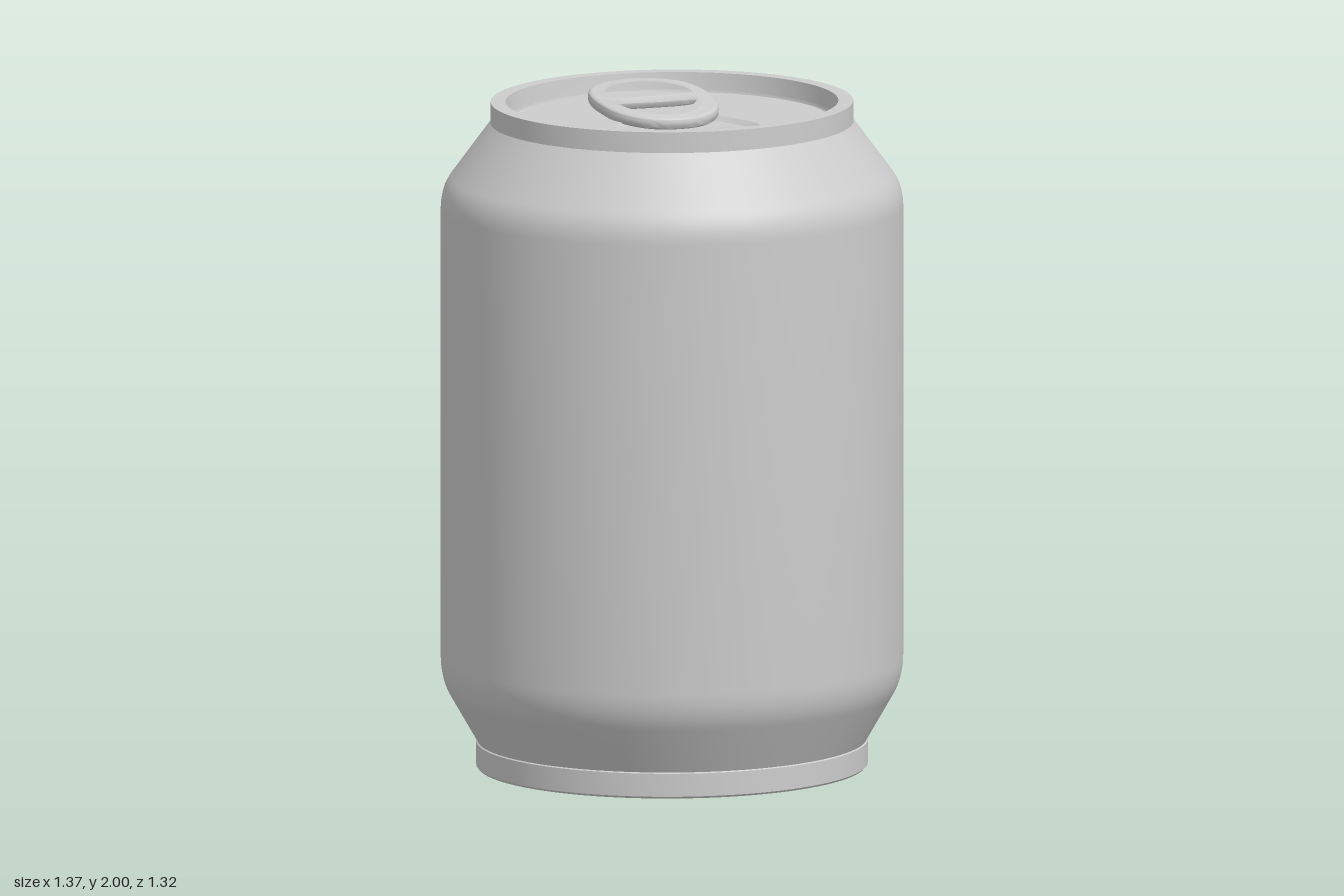
import * as THREE from 'three';
import { toCreasedNormals } from 'three/addons/utils/BufferGeometryUtils.js';

const metal = new THREE.MeshStandardMaterial({ color: 0xcccccc });
metal.name = 'plain metal';

const DEPTH = 0.96;   // the can is slightly oval
const LID = 1.935;    // lid level
const PANEL = 1.921;  // sunken panel level

function add(parent, name, geometry, crease = 0.5) {
  const mesh = new THREE.Mesh(toCreasedNormals(geometry, crease), metal);
  mesh.name = name;
  parent.add(mesh);
  return mesh;
}

// Closed smooth outline from its right half, listed from back to front (y = -z)
function outline(half, cx = 0, count = 72) {
  const left = half.slice(1, -1).reverse().map(([x, y]) => [-x, y]);
  const pts = [...half, ...left].map(([x, y]) => new THREE.Vector3(x + cx, y, 0));
  const curve = new THREE.CatmullRomCurve3(pts, true, 'centripetal');
  return curve.getSpacedPoints(count).slice(0, count).map(p => new THREE.Vector2(p.x, p.y));
}

// Lay a geometry drawn in xy flat, facing up
const flat = (geometry, y) => geometry.rotateX(-Math.PI / 2).translate(0, y, 0);

// Sloping wall between two outlines
function wall(a, ya, b, yb) {
  const pos = [], idx = [], n = a.length;
  for (let i = 0; i < n; i++) pos.push(a[i].x, ya, -a[i].y, b[i].x, yb, -b[i].y);
  for (let i = 0; i < n; i++) {
    const p = 2 * i, q = 2 * ((i + 1) % n);
    idx.push(p, p + 1, q, q, p + 1, q + 1);
  }
  const g = new THREE.BufferGeometry();
  g.setAttribute('position', new THREE.Float32BufferAttribute(pos, 3));
  g.setIndex(idx);
  g.computeVertexNormals();
  return g;
}

export function createModel() {
  const can = new THREE.Group();
  can.name = 'can';

  // Turned body: base recess, foot, tapered shoulders, rim and lid edge
  const p = new THREE.Path();
  p.moveTo(0, 0.05);
  p.lineTo(0.522, 0.05);
  p.quadraticCurveTo(0.535, 0.05, 0.537, 0.035);
  p.lineTo(0.545, 0);
  p.lineTo(0.575, 0);
  p.lineTo(0.58, 0.006);
  p.lineTo(0.58, 0.075);
  p.lineTo(0.576, 0.078);
  p.lineTo(0.655, 0.215);
  p.quadraticCurveTo(0.685, 0.265, 0.685, 0.33);
  p.lineTo(0.685, 1.675);
  p.quadraticCurveTo(0.685, 1.73, 0.655, 1.77);
  p.lineTo(0.538, 1.928);
  p.lineTo(0.537, 1.99);
  p.lineTo(0.493, 1.99);
  p.lineTo(0.486, 1.94);
  p.quadraticCurveTo(0.484, 1.926, 0.477, 1.926);
  p.quadraticCurveTo(0.47, 1.926, 0.466, LID);
  p.lineTo(0.45, LID);
  const body = add(can, 'body', new THREE.LatheGeometry(p.getPoints(8), 96));
  body.scale.z = DEPTH;

  // Lid with an egg-shaped sunken panel
  const edge = outline([[0, 0.1], [0.08, 0.085], [0.14, 0.03], [0.19, -0.06], [0.217, -0.16],
    [0.2, -0.25], [0.15, -0.32], [0.08, -0.368], [0, -0.382]], -0.002);
  const inner = edge.map(v => new THREE.Vector2(v.x * 0.92, (v.y + 0.15) * 0.93 - 0.15));
  const lid = new THREE.Shape();
  lid.absellipse(0, 0, 0.451, 0.451 * DEPTH, 0, Math.PI * 2);
  lid.holes.push(new THREE.Path(edge));
  add(can, 'lid', flat(new THREE.ShapeGeometry(lid, 48), LID));
  const slope = add(can, 'panelEdge', wall(edge, LID, inner, PANEL));
  slope.material = metal;
  add(can, 'panel', flat(new THREE.ShapeGeometry(new THREE.Shape(inner)), PANEL));

  // Mouth piece, slightly raised inside the panel
  const mouth = new THREE.Shape(outline([[0, -0.155], [0.07, -0.145], [0.122, -0.12], [0.145, -0.125],
    [0.15, -0.19], [0.125, -0.255], [0.075, -0.3], [0, -0.315]]));
  add(can, 'mouth', flat(new THREE.ExtrudeGeometry(mouth, {
    depth: 0.003, bevelThickness: 0.003, bevelSize: 0.004, bevelOffset: -0.004, bevelSegments: 2,
  }), PANEL));

  // Rivet
  const rivet = new THREE.LatheGeometry([[0.08, PANEL], [0.08, 1.948], [0.074, 1.954], [0, 1.954]]
    .map(([x, y]) => new THREE.Vector2(x, y)), 40);
  add(can, 'rivet', rivet).position.set(-0.007, 0, -0.025);

  // Pull tab: rounded ring with two openings, tilted up at the back
  const tab = new THREE.Shape(outline([[0, 0.36], [0.08, 0.343], [0.145, 0.295], [0.175, 0.22],
    [0.178, 0.12], [0.16, 0.02], [0.115, -0.05], [0.06, -0.085], [0, -0.095]]));
  tab.holes.push(
    new THREE.Path(outline([[0, 0.325], [0.07, 0.31], [0.12, 0.265], [0.145, 0.2],
      [0.141, 0.165], [0.115, 0.15], [0, 0.143]])),
    new THREE.Path(outline([[0, 0.1], [0.1, 0.105], [0.135, 0.098], [0.135, 0.07],
      [0.115, 0.02], [0.07, -0.035], [0, -0.06]])));
  const ring = new THREE.ExtrudeGeometry(tab, {
    depth: 0.014, bevelThickness: 0.011, bevelSize: 0.012, bevelOffset: -0.012, bevelSegments: 4,
  });
  const pullTab = add(can, 'pullTab', flat(ring, 0), 0.7);
  pullTab.rotation.x = 0.1;
  pullTab.position.set(-0.007, 1.939, 0);

  return can;
}
